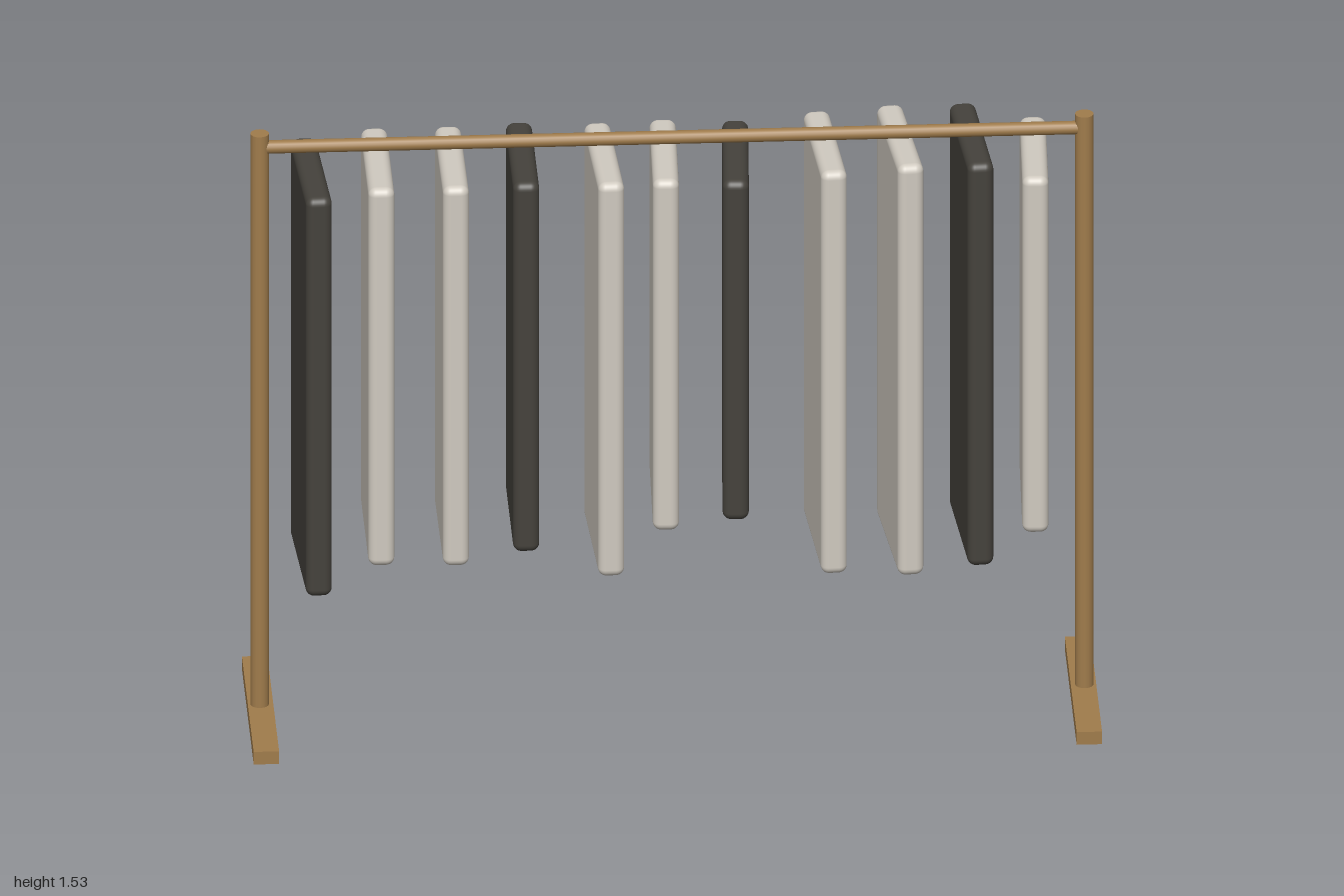
import * as THREE from 'three';
import { RoundedBoxGeometry } from 'three/addons/geometries/RoundedBoxGeometry.js';

const wood = new THREE.MeshStandardMaterial({ color: 0xa07c4c });
const light = new THREE.MeshStandardMaterial({ color: 0xd0cac0 });
const dark = new THREE.MeshStandardMaterial({ color: 0x45423c });

const TOP = 1.46, THICKNESS = 0.062, DEPTH = 0.345;

// Each garment: x, z, hem height, turn about y, material
const GARMENTS = [
  [-0.853, 0.048, 0.415, 0.06, dark],
  [-0.694, 0.005, 0.47, 0, light],
  [-0.519, 0.005, 0.465, 0.005, light],
  [-0.352, -0.007, 0.492, 0, dark],
  [-0.16, 0.005, 0.428, 0.05, light],
  [-0.018, -0.005, 0.54, -0.03, light],
  [0.149, 0.009, 0.57, -0.05, dark],
  [0.363, -0.029, 0.404, 0.075, light],
  [0.541, -0.053, 0.383, 0.1, light],
  [0.709, -0.053, 0.404, 0.08, dark],
  [0.852, 0.028, 0.527, -0.035, light],
];

function add(parent, name, geometry, material, x, y, z) {
  const mesh = new THREE.Mesh(geometry, material);
  mesh.name = name;
  mesh.position.set(x, y, z);
  parent.add(mesh);
  return mesh;
}

export function createModel() {
  const model = new THREE.Group();
  model.name = 'clothesRack';

  // Upright posts on flat feet
  for (const [side, s] of [['left', 1], ['right', -1]]) {
    add(model, side + 'Foot', new THREE.BoxGeometry(0.06, 0.033, 0.51), wood, s * 0.97, 0.0165, 0);
    add(model, side + 'Post', new THREE.CylinderGeometry(0.022, 0.022, 1.51, 16), wood, s * 0.972, 0.775, 0);
  }

  // Hanging rail
  const rail = add(model, 'rail', new THREE.CylinderGeometry(0.016, 0.016, 1.944, 16), wood, 0, 1.494, 0);
  rail.rotation.z = Math.PI / 2;

  // Row of garments as soft-edged slabs
  const garments = new THREE.Group();
  garments.name = 'garments';
  GARMENTS.forEach(([x, z, hem, turn, material], i) => {
    const geometry = new RoundedBoxGeometry(THICKNESS, TOP - hem, DEPTH, 4, 0.02);
    const garment = add(garments, 'garment' + (i + 1), geometry, material, x, (TOP + hem) / 2, z);
    garment.rotation.y = turn;
  });
  model.add(garments);

  return model;
}
